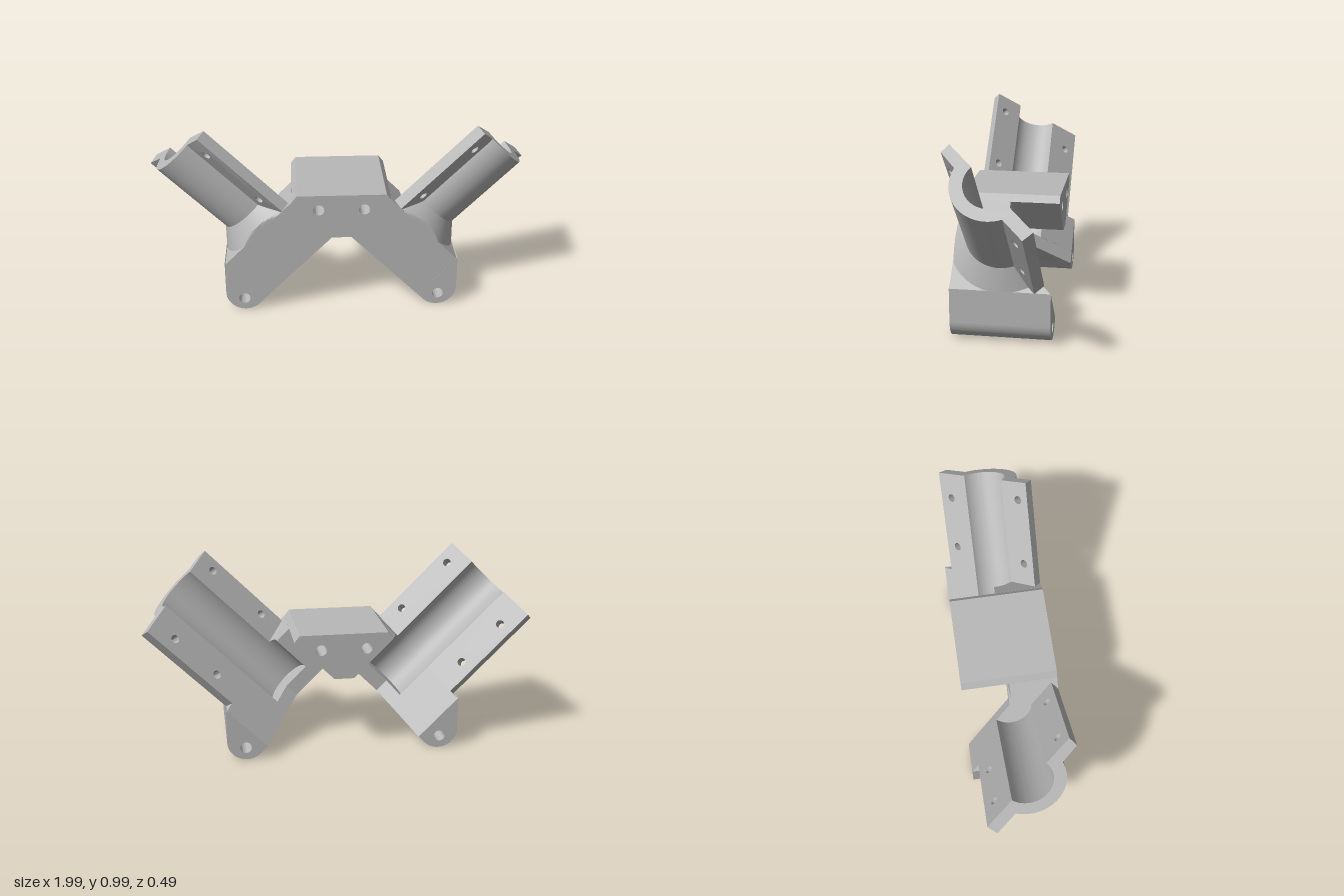
import * as THREE from 'three';
import { toCreasedNormals } from 'three/addons/utils/BufferGeometryUtils.js';

const R = Math.SQRT1_2, DEG = Math.PI / 180;
// Arm frame: S runs along the tilted bore, U across it, Z is depth
const S = new THREE.Vector3(R, R, 0);
const U = new THREE.Vector3(R, -R, 0);
const Z = new THREE.Vector3(0, 0, 1);
const P = Z.clone().sub(U).multiplyScalar(R);            // along the split plane
const Q = Z.clone().add(U).multiplyScalar(-R);           // out of the split plane
const BORE_U = -0.037, BORE = 0.126, OUTER = 0.187;
const S_IN = 0.325, S_BORE = 0.4, S_FACE = 0.61, S_END = 1.17;
const SPLIT = -0.0127, WALL = 0.0615, DEPTH = 0.245;
const A0 = -39.2 * DEG, A1 = 129.2 * DEG;                // arc kept below the split

const grey = new THREE.MeshStandardMaterial({ color: 0xb8b8b8 });
grey.name = 'plain grey';

function place(geometry, x, y, z, origin) {
  return geometry.applyMatrix4(new THREE.Matrix4().makeBasis(x, y, z).setPosition(origin));
}

function mesh(name, geometry) {
  const m = new THREE.Mesh(toCreasedNormals(geometry, 0.5), grey);
  m.name = name;
  return m;
}

function extrude(shape, depth) {
  return new THREE.ExtrudeGeometry(shape, { depth, bevelEnabled: false, curveSegments: 32 });
}

function polygon(points) {
  return new THREE.Shape(points.map(([x, y]) => new THREE.Vector2(x, y)));
}

function drill(shape, x, y, r) {
  shape.holes.push(new THREE.Path().absarc(x, y, r, 0, Math.PI * 2, true));
}

// Extrude a (U, Z) section measured from the bore centre between two S values
function alongBore(shape, s0, s1) {
  const origin = S.clone().multiplyScalar(s1).addScaledVector(U, BORE_U);
  return place(extrude(shape, s1 - s0), U, Z, S.clone().negate(), origin);
}

// Keep vertices inside the block's front face and outer wall
function trim(geometry, maxX = 9) {
  const p = geometry.attributes.position;
  for (let i = 0; i < p.count; i++) {
    p.setX(i, Math.min(p.getX(i), maxX));
    p.setZ(i, THREE.MathUtils.clamp(p.getZ(i), -DEPTH, DEPTH));
  }
  return geometry;
}

function flange(p0, p1, holes) {
  const shape = polygon([[S_FACE, p0], [S_END, p0], [S_END, p1], [S_FACE, p1]]);
  holes.forEach(([s, p]) => drill(shape, s, p, 0.021));
  const origin = U.clone().multiplyScalar(BORE_U).addScaledVector(Q, SPLIT);
  return trim(place(extrude(shape, WALL), S, P, Q.clone().negate(), origin));
}

function armSection(bored) {
  const lo = -0.255 - BORE_U, hi = 0.233 - BORE_U;
  const shape = new THREE.Shape();
  shape.moveTo(lo, 0);
  if (bored) {
    shape.lineTo(-BORE, 0);
    shape.absarc(0, 0, BORE, Math.PI, A0, true);
  } else {
    shape.lineTo(0.018, 0);
  }
  shape.lineTo(hi, -DEPTH);
  shape.lineTo(hi, DEPTH);
  shape.lineTo(lo, DEPTH);
  shape.closePath();
  return shape;
}

function createArm() {
  const arm = new THREE.Group();

  // Sloping leg with the blind bore and angled rear face
  arm.add(mesh('legBase', alongBore(armSection(false), S_IN, S_BORE)));
  arm.add(mesh('legSocket', alongBore(armSection(true), S_BORE, S_FACE)));

  // Rounded foot with pin hole
  const foot = new THREE.Shape();
  foot.moveTo(0.6, 0.27);
  foot.lineTo(0.395, 0.065);
  foot.lineTo(0.429, 0.029);
  foot.absarc(0.5, 0.1, 0.1, 225 * DEG, 360 * DEG, false);
  foot.closePath();
  drill(foot, 0.505, 0.064, 0.029);
  arm.add(mesh('foot', extrude(foot, DEPTH * 2).translate(0, 0, -DEPTH)));

  // Half-pipe cradle
  const ring = new THREE.Shape();
  ring.absarc(0, 0, OUTER, A0, A1, false);
  ring.absarc(0, 0, BORE, A1, A0, true);
  ring.closePath();
  arm.add(mesh('halfPipe', alongBore(ring, S_FACE, S_END)));

  // Bolting flanges
  arm.add(mesh('upperFlange', flange(0.1254, 0.287, [[0.728, 0.226], [1.075, 0.226]])));
  arm.add(mesh('lowerFlange', flange(-0.309, -0.1254, [[0.757, -0.238], [1.036, -0.238]])));

  // Conical collar between leg and half pipe
  const profile = [];
  for (let i = 0; i <= 12; i++) {
    const t = i / 12;
    profile.push(new THREE.Vector2(0.275 + (OUTER - 0.275) * t, S_FACE + 0.09 * t));
  }
  const cone = new THREE.LatheGeometry(profile, 48, Math.PI / 2 - A1, A1 - A0);
  place(cone, U, S, Z, U.clone().multiplyScalar(BORE_U));
  arm.add(mesh('collar', trim(cone, 0.6)));
  return arm;
}

export function createModel() {
  const model = new THREE.Group();
  model.name = 'pipeBracket';

  // Central bridge block with two through holes
  const block = polygon([[-0.225, 0.645], [-0.251, 0.611], [-0.05, 0.41],
    [0.05, 0.41], [0.251, 0.611], [0.225, 0.645]]);
  for (const side of [-1, 1]) drill(block, side * 0.115, 0.565, 0.028);
  model.add(mesh('bridgeBlock', extrude(block, DEPTH * 2).translate(0, 0, -DEPTH)));

  // Mirrored arms
  const left = createArm();
  left.name = 'leftArm';
  const right = createArm();
  right.name = 'rightArm';
  right.scale.x = -1;
  model.add(left, right);
  return model;
}
